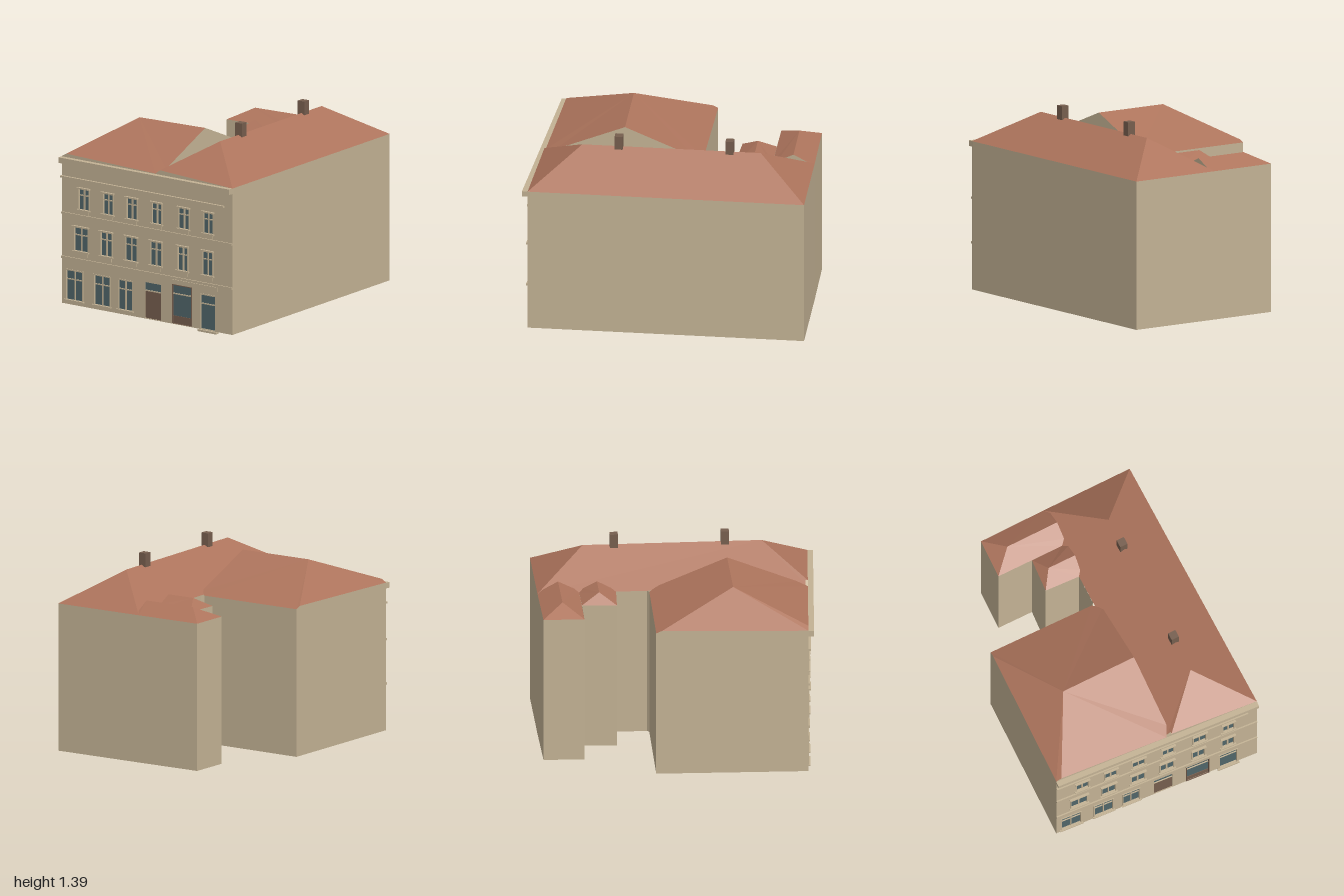
import * as THREE from 'three';

const mat = (name, color) => {
  const m = new THREE.MeshStandardMaterial({ color, side: THREE.DoubleSide });
  m.name = name;
  return m;
};

export function createModel() {
  const group = new THREE.Group();
  const wall = mat('tan plaster', 0xc3b294);
  const tile = mat('roof tile', 0xad745c);
  const glass = mat('blue grey glass', 0x506569);
  const wood = mat('brown wood', 0x765e4e);
  const FRONT = 0.96, BASE = 0.015;

  const add = (name, geo, m, parent = group) => {
    const mesh = new THREE.Mesh(geo, m);
    mesh.name = name;
    parent.add(mesh);
    return mesh;
  };
  // flat polygons, each split into a fan of triangles
  const faces = (name, polys, m) => {
    const pos = [];
    for (const p of polys)
      for (let i = 1; i < p.length - 1; i++) pos.push(...p[0], ...p[i], ...p[i + 1]);
    const g = new THREE.BufferGeometry();
    g.setAttribute('position', new THREE.Float32BufferAttribute(pos, 3));
    g.computeVertexNormals();
    return add(name, g, m);
  };
  // box given by its limits
  const box = (name, x0, x1, y0, y1, z0, z1, m, parent) => {
    const g = new THREE.BoxGeometry(x1 - x0, y1 - y0, z1 - z0);
    g.translate((x0 + x1) / 2, (y0 + y1) / 2, (z0 + z1) / 2);
    return add(name, g, m, parent);
  };
  const rect = (T, x0, x1, y0, y1) => new T([[x0, y0], [x1, y0], [x1, y1], [x0, y1]]
    .map(([x, y]) => new THREE.Vector2(x, y)));
  const extrude = (shape, z0, z1) => {
    const g = new THREE.ExtrudeGeometry(shape, { depth: z1 - z0, bevelEnabled: false });
    return g.translate(0, 0, z0);
  };

  // side, rear and courtyard walls: x, z and top height
  const plan = [
    [0.79, 0.96, 1.08], [0.65, -1, 1.08], [-0.035, -0.95, 1.08], [-0.53, -0.91, 1.08],
    [-0.52, -0.62, 1.08], [-0.255, -0.637, 1.08], [-0.255, -0.39, 1.08], [0.003, -0.395, 1.08],
    [0.017, -0.175, 1.08], [0, -0.16, 1.08], [-0.795, -0.115, 1.083], [-0.793, -0.075, 1.1],
    [-0.75, 0.96, 1.083],
  ];
  const sides = [];
  for (let i = 0; i < plan.length - 1; i++) {
    const [ax, az, ay] = plan[i], [bx, bz, by] = plan[i + 1];
    sides.push([[ax, BASE, az], [bx, BASE, bz], [bx, by, bz], [ax, ay, az]]);
  }
  faces('outerWalls', sides, wall);

  // main roof along the long side
  const E0 = [0.79, 1.08, 0.96], E1 = [0.65, 1.08, -1], N = [-0.035, 1.08, -0.95];
  const R0 = [0.42, 1.305, 0.635], R1 = [0.33, 1.305, -0.63];
  const H = [0.135, 1.113, 0.96], V = [0.095, 1.083, 0.96];
  faces('mainRoof', [[E0, E1, R1, R0], [E1, N, R1], [E0, R0, H], [R0, R1, N, V, H]], tile);

  // street wing roof
  const A = [-0.75, 1.083, 0.96], A2 = [-0.71, 1.105, 0.96];
  const B = [-0.795, 1.083, -0.115], B2 = [-0.793, 1.1, -0.075], C = [0, 1.08, -0.16];
  const L0 = [-0.47, 1.305, 0.43], L1 = [0.09, 1.305, 0.39];
  const Gf = [0.13, 1.107, 0.885], Gb = [0.06, 1.1, -0.106];
  faces('streetWingRoof', [[L0, A2, V, Gf, L1], [A, A2, L0, B2], [L0, L1, Gb, C, B, B2]], tile);

  // rear wing roof
  const W0 = [-0.53, 1.08, -0.91], W1 = [-0.52, 1.08, -0.62];
  const S = [-0.014, 1.08, -0.655], Vs = [0.015, 1.1, -0.69], Vn = [0, 1.1, -0.91];
  const K0 = [-0.385, 1.156, -0.775], K1 = [0.01, 1.156, -0.805];
  faces('rearWingRoof', [[N, W0, K0, K1, Vn], [W0, W1, K0], [K0, W1, S, Vs, K1]], tile);

  // small courtyard annex roof
  const P0 = [-0.255, 1.08, -0.637], P1 = [-0.255, 1.08, -0.39], Q = [0.003, 1.08, -0.395];
  const Qv = [0.027, 1.1, -0.43], Pv = [0.02, 1.1, -0.63];
  const K2 = [-0.18, 1.15, -0.515], K3 = [0.03, 1.15, -0.53];
  faces('annexRoof', [[K2, K3, Pv, S, P0], [P0, P1, K2], [K2, P1, Q, Qv, K3]], tile);

  // upright gables where the wings meet the main roof
  faces('gableWalls', [[Gf, Gb, L1], [Vs, Vn, K1], [Qv, Pv, K3]], wall);

  // chimneys on the main ridge
  for (const [x, z] of [[0.34, -0.41], [0.4, 0.375]]) {
    const c = add('chimney', new THREE.BoxGeometry(0.057, 0.1, 0.057), wood);
    c.position.set(x, 1.34, z);
    c.rotation.y = 0.07;
  }

  // facade openings: centre x, width, bottom, top, transom height
  const ground = [[-0.635, 0.145], [-0.386, 0.14], [-0.175, 0.123]]
    .map(([x, w]) => ({ x, w, y0: 0.05, y1: 0.262, bar: 0.198, mullion: true, sill: true }));
  const first = [[-0.575, 0.12], [-0.347, 0.1], [-0.123, 0.1], [0.1, 0.098], [0.342, 0.088], [0.567, 0.09]]
    .map(([x, w]) => ({ x, w, y0: 0.415, y1: 0.583, bar: 0.53, mullion: true, sill: true, cap: true }));
  const second = [[-0.55, 0.09], [-0.331, 0.088], [-0.117, 0.09], [0.108, 0.086], [0.351, 0.092], [0.571, 0.083]]
    .map(([x, w]) => ({ x, w, y0: 0.72, y1: 0.866, bar: 0.822, mullion: true, sill: true, cap: true }));
  const shop = [
    { x: 0.071, w: 0.144, y0: 0.02, y1: 0.28, bar: 0.22, panel: 0.215 },
    { x: 0.336, w: 0.168, y0: 0.02, y1: 0.3, bar: 0.236, panel: 0.075, woodFrame: true },
    { x: 0.569, w: 0.132, y0: 0.02, y1: 0.268, bar: 0.203, frame: true },
  ];
  const openings = [...ground, ...first, ...second, ...shop];

  // street facade with holes
  const facade = new THREE.Shape([[-0.75, BASE], [0.79, BASE], [0.79, 1.08], [0.135, 1.113],
    [0.095, 1.083], [-0.71, 1.105], [-0.75, 1.083]].map(([x, y]) => new THREE.Vector2(x, y)));
  for (const o of openings)
    facade.holes.push(rect(THREE.Path, o.x - o.w / 2, o.x + o.w / 2, o.y0, o.y1));
  add('streetFacade', extrude(facade, 0.945, FRONT), wall);

  // windows and doors
  for (const o of openings) {
    const x0 = o.x - o.w / 2, x1 = o.x + o.w / 2;
    const g = new THREE.Group();
    g.name = o.panel ? 'doorway' : 'window';
    group.add(g);
    const split = o.panel ?? o.y0;
    box('pane', x0, x1, split, o.y1, 0.946, 0.95, glass, g);
    if (o.panel) box('doorPanel', x0, x1, o.y0, split, 0.946, 0.954, wood, g);
    box('transom', x0, x1, o.bar - 0.004, o.bar + 0.004, 0.948, 0.957, wall, g);
    if (o.mullion) box('mullion', o.x - 0.005, o.x + 0.005, o.y0, o.y1, 0.948, 0.957, wall, g);
    if (o.mullion || o.frame || o.woodFrame) {
      const t = o.woodFrame ? 0.004 : 0.008;
      const ring = rect(THREE.Shape, x0 - t, x1 + t, o.y0, o.y1 + t);
      ring.holes.push(rect(THREE.Path, x0 + 0.001, x1 - 0.001, o.y0 + 0.001, o.y1 - 0.001));
      add('frame', extrude(ring, FRONT - 0.005, FRONT + 0.005), o.woodFrame ? wood : wall, g);
    }
    if (o.sill) box('sill', x0 - 0.015, x1 + 0.015, o.y0 - 0.009, o.y0, 0.955, 0.975, wall, g);
    if (o.cap) {
      box('cap', x0 - 0.013, x1 + 0.013, o.y1 + 0.004, o.y1 + 0.014, 0.955, 0.978, wall, g);
      box('apron', x0 + 0.002, x1 - 0.002, o.y0 - 0.038, o.y0 - 0.009, 0.955, 0.967, wall, g);
    }
  }

  // string courses, cornice, sign board and step
  box('lowerBand', -0.75, 0.79, 0.343, 0.36, 0.955, 0.97, wall);
  box('middleBand', -0.75, 0.79, 0.665, 0.68, 0.955, 0.97, wall);
  box('upperBand', -0.75, 0.718, 0.93, 0.943, 0.955, 0.978, wall);
  box('cornice', -0.75, 0.79, 1.04, 1.08, 0.955, 1.0, wall);
  box('signBoard', 0.238, 0.655, 0.308, 0.34, 0.955, 0.967, wall);
  box('doorStep', 0.487, 0.652, 0, 0.014, 0.945, 0.975, wall);

  return group;
}
